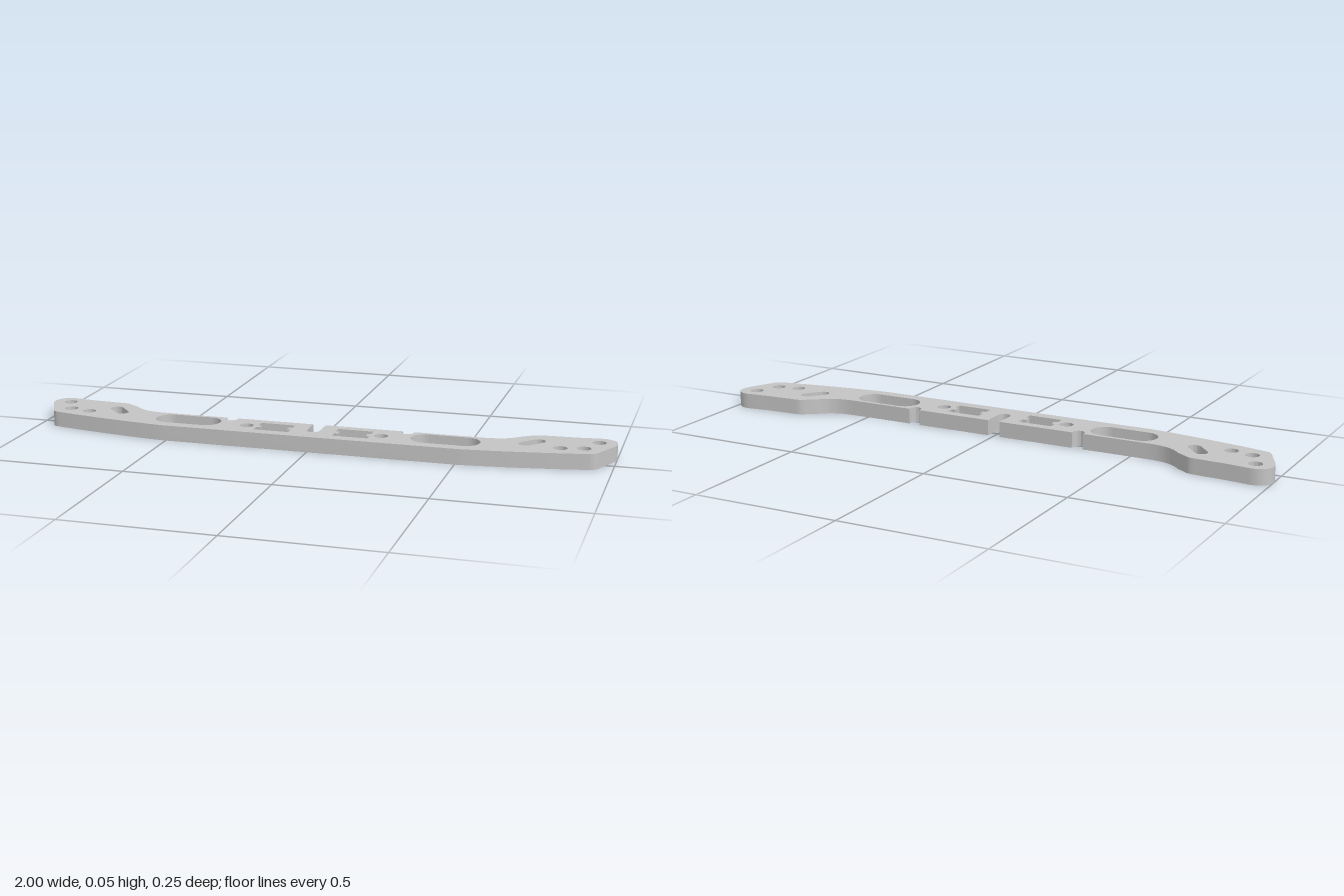
import * as THREE from 'three';
import { toCreasedNormals } from 'three/addons/utils/BufferGeometryUtils.js';

const THICKNESS = 0.053;

// Shapes are drawn in plan with 2D y pointing to the back (y = -z).
// The outline runs clockwise and every hole counter-clockwise.
function rightHalfOutline() {
  const p = new THREE.Path();
  p.moveTo(0, -0.066);
  // central slot, open at the back
  p.absarc(0, -0.044, 0.022, -Math.PI / 2, 0, false);
  p.lineTo(0.022, 0.03);
  // small back notch
  p.lineTo(0.291, 0.03);
  p.lineTo(0.291, 0.02);
  p.absarc(0.311, 0.02, 0.02, Math.PI, Math.PI * 2, false);
  p.lineTo(0.331, 0.03);
  // sweep up to the end lug
  p.lineTo(0.55, 0.03);
  p.bezierCurveTo(0.62, 0.03, 0.65, 0.042, 0.685, 0.08);
  p.lineTo(0.718, 0.102);
  p.quadraticCurveTo(0.73, 0.112, 0.75, 0.113);
  p.lineTo(0.865, 0.119);
  p.lineTo(0.94, 0.128);
  // rounded tip
  p.bezierCurveTo(0.982, 0.129, 1, 0.105, 1, 0.077);
  p.quadraticCurveTo(1, 0.058, 0.99, 0.037);
  p.lineTo(0.952, -0.042);
  p.quadraticCurveTo(0.945, -0.06, 0.925, -0.064);
  // gently curved front edge
  p.quadraticCurveTo(0.73, -0.105, 0.535, -0.125);
  p.lineTo(0.51, -0.127);
  return p.getPoints(14);
}

function circle(x, y, r) {
  return new THREE.Path().absarc(x, y, r, 0, Math.PI * 2, false).getPoints(28);
}

// Stadium slot between two centres
function slot(x1, y1, x2, y2, r) {
  const a = Math.atan2(y2 - y1, x2 - x1);
  const p = new THREE.Path();
  p.absarc(x2, y2, r, a - Math.PI / 2, a + Math.PI / 2, false);
  p.absarc(x1, y1, r, a + Math.PI / 2, a + Math.PI * 1.5, false);
  return p.getPoints(14);
}

// Rectangular window with a small tab on each short side
function tabbedWindow(x1, x2, y1, y2, tab, half) {
  const m = (y1 + y2) / 2;
  return [
    [x1, y1], [x2, y1], [x2, m - half], [x2 - tab, m - half], [x2 - tab, m + half], [x2, m + half],
    [x2, y2], [x1, y2], [x1, m + half], [x1 + tab, m + half], [x1 + tab, m - half], [x1, m - half],
  ].map(([x, y]) => new THREE.Vector2(x, y));
}

const mirror = (pts) => pts.map((v) => new THREE.Vector2(-v.x, v.y)).reverse();

export function createModel() {
  const group = new THREE.Group();
  group.name = 'mountingBar';
  const grey = new THREE.MeshStandardMaterial({ color: 0xc4c4c4 });
  grey.name = 'plate grey';

  const half = rightHalfOutline();
  const shape = new THREE.Shape([...half, ...mirror(half.slice(1))]);

  const holes = [
    circle(0.94, 0.076, 0.023),
    circle(0.901, -0.005, 0.023),
    circle(0.826, -0.021, 0.023),
    slot(0.709, -0.003, 0.747, 0.04, 0.022),
    slot(0.385, -0.035, 0.515, -0.035, 0.051),
    circle(0.235, -0.046, 0.023),
    tabbedWindow(0.076, 0.198, -0.088, -0.002, 0.013, 0.012),
  ];
  for (const h of holes) {
    shape.holes.push(new THREE.Path(h), new THREE.Path(mirror(h)));
  }

  const geometry = new THREE.ExtrudeGeometry(shape, { depth: THICKNESS, bevelEnabled: false });
  geometry.rotateX(-Math.PI / 2);
  const plate = new THREE.Mesh(toCreasedNormals(geometry, 0.5), grey);
  plate.name = 'plate';
  group.add(plate);
  return group;
}
